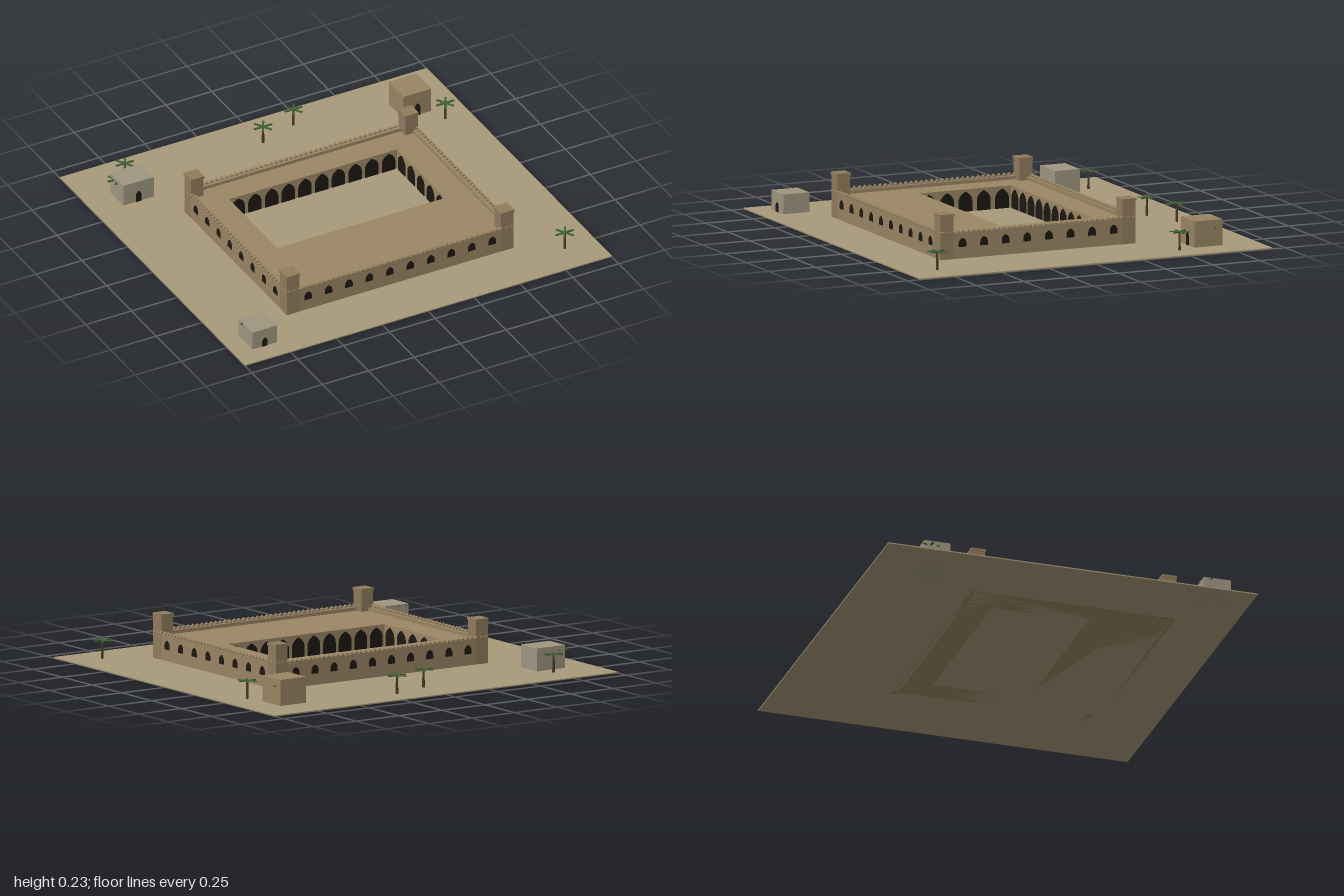
import * as THREE from 'three';
import { mergeGeometries } from 'three/addons/utils/BufferGeometryUtils.js';

const mat = (color) => new THREE.MeshStandardMaterial({ color, flatShading: true });
const SAND = mat(0xa99b7b), WALL = mat(0x9a8564), ROOF = mat(0x9c8765), TOWER = mat(0x917c5c);
const DARK = mat(0x1c1712), GREY = mat(0xa09781), TRUNK = mat(0x4a3826), LEAF = mat(0x3f6038);

// Fort footprint, courtyard opening and heights
const FORT = { x0: -0.617, x1: 0.617, z0: -0.385, z1: 0.645 };
const YARD = { x0: -0.458, x1: 0.458, z0: -0.23, z1: 0.253 };
const GROUND = 0.006, ROOF_Y = 0.115, WALL_Y = 0.132;

function add(parent, name, geometry, material) {
  const mesh = new THREE.Mesh(geometry, material);
  mesh.name = name;
  parent.add(mesh);
  return mesh;
}

// Box given by its two opposite corners
function span(x0, x1, y0, y1, z0, z1) {
  return new THREE.BoxGeometry(x1 - x0, y1 - y0, z1 - z0)
    .translate((x0 + x1) / 2, (y0 + y1) / 2, (z0 + z1) / 2);
}

// Thin panel with a pointed arch, standing on y = 0 and facing +z
function archPanel(w, h, spring, depth = 0.004) {
  const s = new THREE.Shape();
  s.moveTo(-w / 2, 0);
  s.lineTo(w / 2, 0);
  s.lineTo(w / 2, spring);
  s.quadraticCurveTo(w / 2, h * 0.82, 0, h);
  s.quadraticCurveTo(-w / 2, h * 0.82, -w / 2, spring);
  return new THREE.ExtrudeGeometry(s, { depth, bevelEnabled: false, curveSegments: 5 })
    .translate(0, 0, -depth / 2);
}

// Row of evenly spaced copies along one side of a rectangle
function alongSide(r, side, count, margin, makeGeometry, y) {
  const alongX = side === 'front' || side === 'back';
  const a = (alongX ? r.x0 : r.z0) + margin, b = (alongX ? r.x1 : r.z1) - margin;
  const fixed = { front: r.z1, back: r.z0, left: r.x1, right: r.x0 }[side];
  const parts = [];
  for (let i = 0; i < count; i++) {
    const t = a + (b - a) * i / (count - 1);
    const g = makeGeometry();
    if (!alongX) g.rotateY(Math.PI / 2);
    parts.push(g.translate(alongX ? t : fixed, y, alongX ? fixed : t));
  }
  return mergeGeometries(parts);
}

// Pointed tooth on the parapet
function merlon() {
  const base = new THREE.BoxGeometry(0.015, 0.007, 0.015).translate(0, 0.0035, 0);
  const tip = new THREE.ConeGeometry(0.0106, 0.01, 4).rotateY(Math.PI / 4).translate(0, 0.012, 0);
  return mergeGeometries([base, tip]);
}

function fort() {
  const g = new THREE.Group();
  g.name = 'fort';
  const { x0, x1, z0, z1 } = FORT, t = 0.025;

  // Four flat-roofed wings around the courtyard
  add(g, 'frontWing', span(x0 + t, x1 - t, 0, ROOF_Y, YARD.z1, z1 - t), ROOF);
  add(g, 'backWing', span(x0 + t, x1 - t, 0, ROOF_Y, z0 + t, YARD.z0), ROOF);
  add(g, 'leftWing', span(YARD.x1, x1 - t, 0, ROOF_Y, YARD.z0, YARD.z1), ROOF);
  add(g, 'rightWing', span(x0 + t, YARD.x0, 0, ROOF_Y, YARD.z0, YARD.z1), ROOF);

  // Outer walls rising into a parapet
  add(g, 'frontWall', span(x0, x1, 0, WALL_Y, z1 - t, z1), WALL);
  add(g, 'backWall', span(x0, x1, 0, WALL_Y, z0, z0 + t), WALL);
  add(g, 'leftWall', span(x1 - t, x1, 0, WALL_Y, z0 + t, z1 - t), WALL);
  add(g, 'rightWall', span(x0, x0 + t, 0, WALL_Y, z0 + t, z1 - t), WALL);

  // Windows, parapet teeth and courtyard arcade on each side
  const teethLine = { x0: x0 + 0.004, x1: x1 - 0.004, z0: z0 + 0.004, z1: z1 - 0.004 };
  for (const side of ['front', 'back', 'left', 'right']) {
    const long = side === 'front' || side === 'back';
    add(g, side + 'Windows',
      alongSide(FORT, side, long ? 10 : 8, 0.115, () => archPanel(0.04, 0.044, 0.016), 0.062), DARK);
    add(g, side + 'Merlons', alongSide(teethLine, side, long ? 46 : 38, 0.006, merlon, WALL_Y), WALL);
    add(g, side + 'Arcade',
      alongSide(YARD, side, long ? 10 : 5, 0.048, () => archPanel(0.072, 0.098, 0.05, 0.006), GROUND), DARK);
  }

  // Corner towers with a slightly wider cap
  for (const x of [x0 + 0.033, x1 - 0.033]) for (const z of [z0 + 0.033, z1 - 0.033]) {
    const tower = new THREE.Group();
    tower.name = 'cornerTower';
    add(tower, 'towerShaft', span(-0.034, 0.034, 0, 0.212, -0.034, 0.034), TOWER);
    add(tower, 'towerCap', span(-0.037, 0.037, 0.212, 0.226, -0.037, 0.037), TOWER);
    tower.position.set(x, 0, z);
    g.add(tower);
  }
  return g;
}

function house(x, z, w, d, h, doorH, material) {
  const g = new THREE.Group();
  g.name = 'house';
  add(g, 'houseBody', span(-w / 2, w / 2, 0, h, -d / 2, d / 2), material);
  add(g, 'houseDoor', archPanel(0.028, doorH, doorH * 0.6, 0.006).translate(0, GROUND, d / 2), DARK);
  g.position.set(x, 0, z);
  return g;
}

function palm(x, z) {
  const g = new THREE.Group();
  g.name = 'palm';
  add(g, 'palmTrunk', new THREE.CylinderGeometry(0.005, 0.007, 0.092, 6).translate(0, 0.05, 0), TRUNK);
  // Six flat fronds in a star
  const fronds = [];
  for (let i = 0; i < 6; i++) {
    fronds.push(new THREE.BoxGeometry(0.048, 0.005, 0.01)
      .translate(0.024, 0.096, 0).rotateY(i * Math.PI / 3));
  }
  add(g, 'palmFronds', mergeGeometries(fronds), LEAF);
  g.position.set(x, 0, z);
  return g;
}

export function createModel() {
  const model = new THREE.Group();
  model.name = 'desertFort';

  add(model, 'ground', span(-1, 1, 0, GROUND, -0.932, 0.932), SAND);
  add(model, 'courtyardFloor', span(YARD.x0, YARD.x1, 0.001, GROUND + 0.001, YARD.z0, YARD.z1), SAND);
  model.add(fort());

  model.add(house(-0.768, -0.635, 0.166, 0.132, 0.118, 0.06, GREY));
  model.add(house(0.765, -0.668, 0.15, 0.15, 0.133, 0.068, WALL));
  model.add(house(-0.837, 0.76, 0.135, 0.138, 0.102, 0.048, GREY));

  // Palms, some growing against the houses
  const palms = [[-0.735, -0.77], [0, -0.735], [0.2, -0.8], [0.867, -0.502], [0.833, 0.765],
    [-0.835, -0.668], [0.8, -0.7], [-0.866, 0.73]];
  for (const [x, z] of palms) model.add(palm(x, z));
  return model;
}
